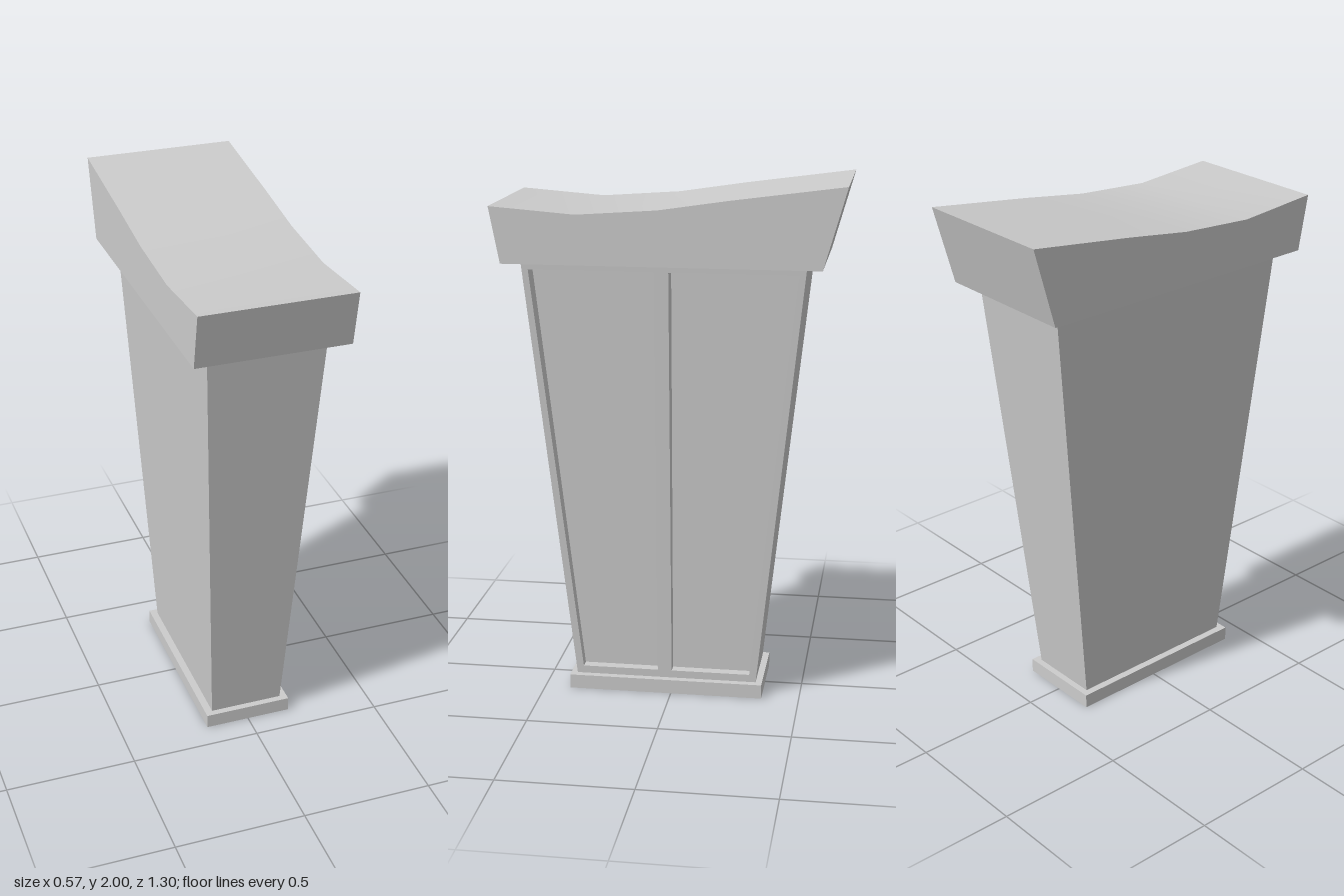
import * as THREE from 'three';
import { toCreasedNormals } from 'three/addons/utils/BufferGeometryUtils.js';

const material = new THREE.MeshStandardMaterial({ color: 0xcccccc });

// Side profile given as [z, y] points; mirrored in z so it can be turned to face +x
const outline = (points, Type = THREE.Shape) => new Type(points.map(([z, y]) => new THREE.Vector2(-z, y)));

// Extrudes a side profile along x, from x = inner(y) to x = outer(y)
function sideExtrude(name, shape, inner, outer) {
  const geometry = new THREE.ExtrudeGeometry(shape, { depth: 1, bevelEnabled: false });
  geometry.rotateY(Math.PI / 2);
  const p = geometry.attributes.position;
  for (let i = 0; i < p.count; i++) {
    const y = p.getY(i);
    p.setX(i, THREE.MathUtils.lerp(inner(y), outer(y), p.getX(i)));
  }
  geometry.computeVertexNormals();
  const mesh = new THREE.Mesh(toCreasedNormals(geometry, 0.4), material);
  mesh.name = name;
  return mesh;
}

export function createModel() {
  const group = new THREE.Group();
  group.name = 'pedestal';
  const bottom = 0.055, top = 1.7;
  const taper = (a, b) => (y) => a + (b - a) * (y - bottom) / (top - bottom);
  const half = taper(0.142, 0.22);
  const floor = taper(0.103, 0.148);

  // Foot plate
  const base = new THREE.Mesh(new THREE.BoxGeometry(0.34, bottom, 0.755), material);
  base.position.set(0, bottom / 2, 0.0225);
  base.name = 'base';
  group.add(base);

  // Tapered body: solid core plus a frame around two recessed panels on the left side
  const body = [[0.375, bottom], [-0.33, bottom], [-0.505, top], [0.55, top]];
  group.add(sideExtrude('bodyCore', outline(body), (y) => -half(y), floor));
  const frame = outline(body);
  frame.holes.push(
    outline([[0.35, 0.085], [0.055, 0.085], [0.055, 1.67], [0.523, 1.67]], THREE.Path),
    outline([[0, 0.085], [-0.305, 0.085], [-0.478, 1.67], [0, 1.67]], THREE.Path)
  );
  group.add(sideExtrude('panelFrame', frame, floor, half));

  // Flared head with a dished, sloping top
  const head = [
    [0.61, top], [-0.565, top], [-0.65, 2], [-0.23, 1.944],
    [0.03, 1.905], [0.33, 1.884], [0.65, 1.909]
  ];
  group.add(sideExtrude('head', outline(head), () => -0.287, () => 0.287));
  return group;
}
